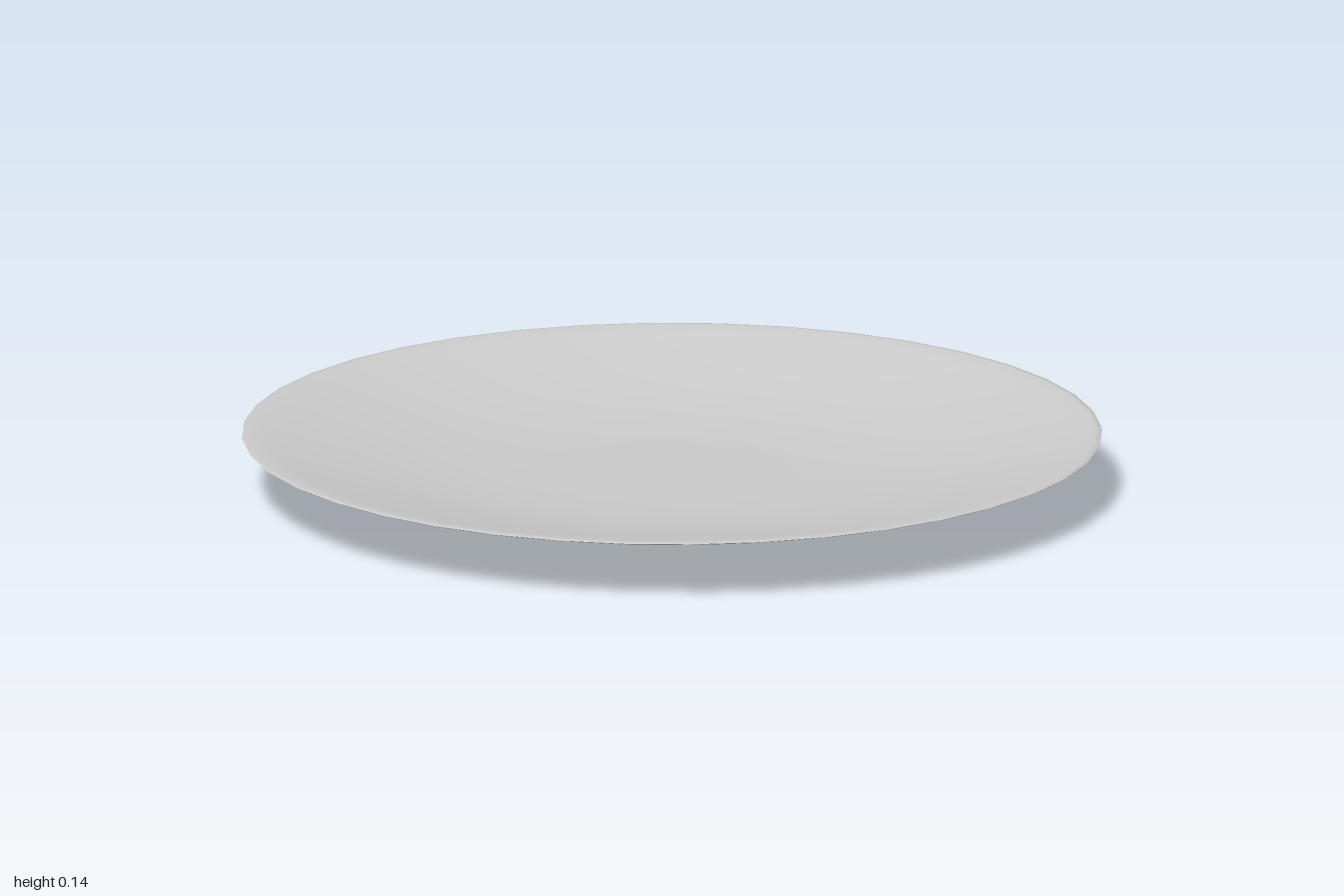
import * as THREE from 'three';

const SIDES = 40;

// Sample a smooth run of profile points
function curve(points, n) {
  return new THREE.SplineCurve(points.map(([x, y]) => new THREE.Vector2(x, y))).getPoints(n);
}

export function createModel() {
  const group = new THREE.Group();
  group.name = 'dish';
  const material = new THREE.MeshStandardMaterial({ color: 0xcccccc });

  const addLathe = (name, profile) => {
    const mesh = new THREE.Mesh(new THREE.LatheGeometry(profile, SIDES), material);
    mesh.name = name;
    group.add(mesh);
  };

  // Shallow hollow under the foot, rising to the centre
  addLathe('footHollow', curve([[0, 0.02], [0.14, 0.018], [0.26, 0.011], [0.33, 0]], 8));

  // Curved underside, thin rim and sloping inside down to the flat floor
  addLathe('bowl', [
    ...curve([[0.33, 0], [0.48, 0.021], [0.64, 0.048], [0.82, 0.092], [0.995, 0.139]], 12),
    new THREE.Vector2(1, 0.142),
    new THREE.Vector2(0.985, 0.144),
    ...curve([[0.95, 0.138], [0.82, 0.112], [0.64, 0.08], [0.48, 0.061], [0.33, 0.052]], 12),
    new THREE.Vector2(0.28, 0.05),
    new THREE.Vector2(0, 0.05),
  ]);

  return group;
}
